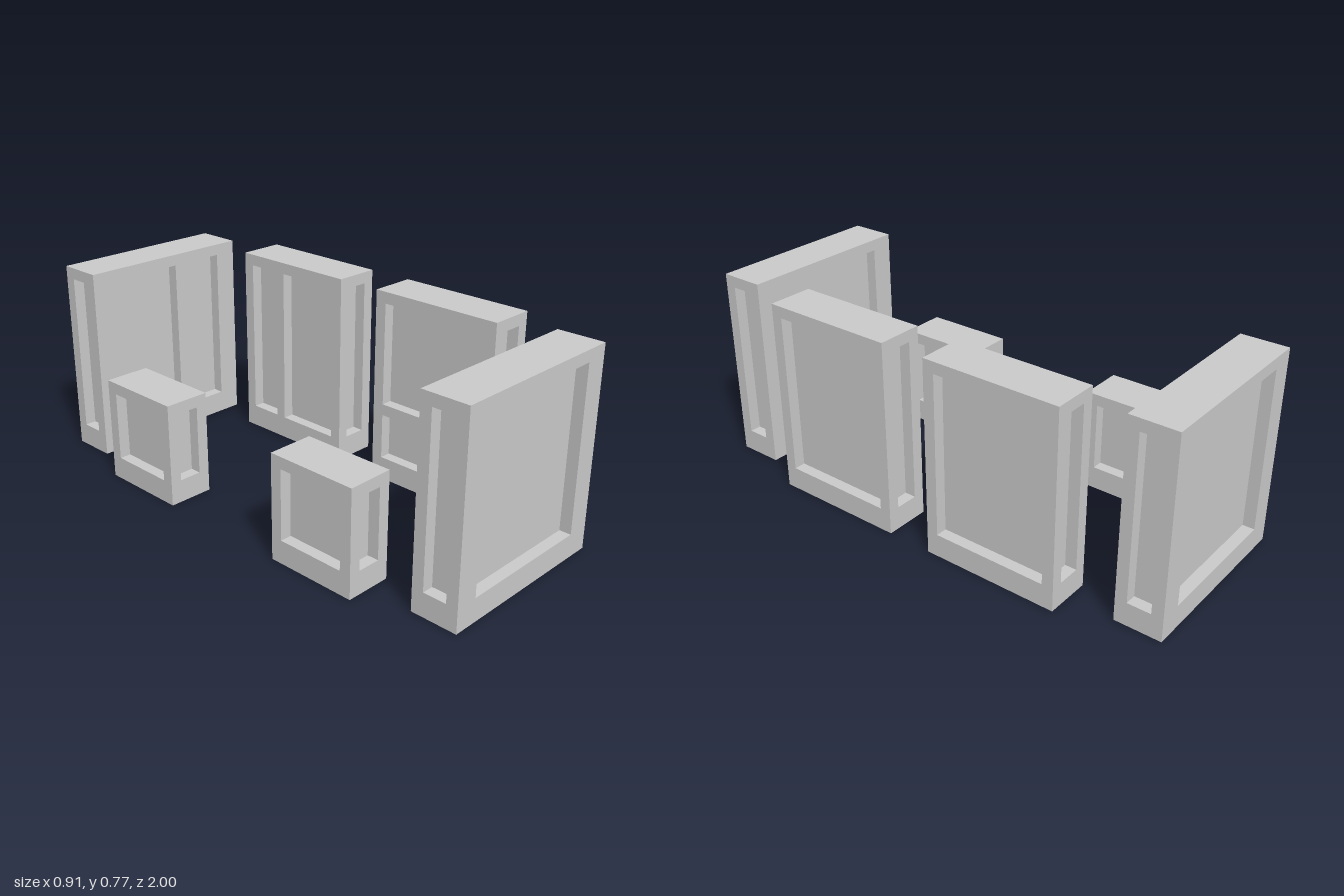
import * as THREE from 'three';

const U = 1 / 22; // one grid step of the design
const material = new THREE.MeshStandardMaterial({ color: 0xcccccc, flatShading: true });

// Box given by its limits in grid steps
function box(group, name, [x0, x1], [y0, y1], [z0, z1]) {
  const geometry = new THREE.BoxGeometry((x1 - x0) * U, (y1 - y0) * U, (z1 - z0) * U);
  const mesh = new THREE.Mesh(geometry, material);
  mesh.name = name;
  mesh.position.set((x0 + x1) * U / 2, (y0 + y1) * U / 2, (z0 + z1) * U / 2);
  group.add(mesh);
}

// Block with a recessed panel on all four sides: base, cap, inset core, corner posts
function panelBlock(name, [x0, x1], height, [z0, z1], postX = 1) {
  const group = new THREE.Group();
  group.name = name;
  const top = height - 1;
  box(group, 'base', [x0, x1], [0, 2], [z0, z1]);
  box(group, 'cap', [x0, x1], [top, height], [z0, z1]);
  box(group, 'core', [x0 + 1, x1 - 1], [2, top], [z0 + 1, z1 - 1]);
  for (const px of [[x0, x0 + postX], [x1 - postX, x1]]) {
    for (const pz of [[z0, z0 + 1], [z1 - 1, z1]]) {
      box(group, 'cornerPost', px, [2, top], pz);
    }
  }
  return group;
}

export function createModel() {
  const model = new THREE.Group();
  model.name = 'panelBlocks';

  // Wide slabs at the front and back
  const front = panelBlock('frontSlab', [-8, 8], 17, [18, 22], 2);
  const back = panelBlock('backSlab', [-8, 8], 17, [-22, -18], 2);

  // Tall blocks on the left side
  const leftFront = panelBlock('leftFrontBlock', [6, 10], 17, [2, 14]);
  const leftBack = panelBlock('leftBackBlock', [6, 10], 17, [-14, -2]);

  // Low blocks on the right side
  const rightFront = panelBlock('rightFrontBlock', [-10, -6], 9, [6, 14]);
  const rightBack = panelBlock('rightBackBlock', [-10, -6], 9, [-14, -6]);

  // Low corner frames on the inner faces of the front pieces
  box(front, 'innerRail', [-6, 3], [8, 9], [18, 19]);
  box(front, 'innerStile', [2, 3], [2, 8], [18, 19]);
  box(leftFront, 'innerRail', [6, 7], [6, 7], [3, 8]);
  box(leftFront, 'innerStile', [6, 7], [2, 6], [7, 8]);

  // Full-height dividers on the inner faces of the back pieces
  box(back, 'innerDivider', [1, 2], [2, 16], [-19, -18]);
  box(leftBack, 'innerDivider', [6, 7], [2, 16], [-10, -9]);

  model.add(front, back, leftFront, leftBack, rightFront, rightBack);
  return model;
}
